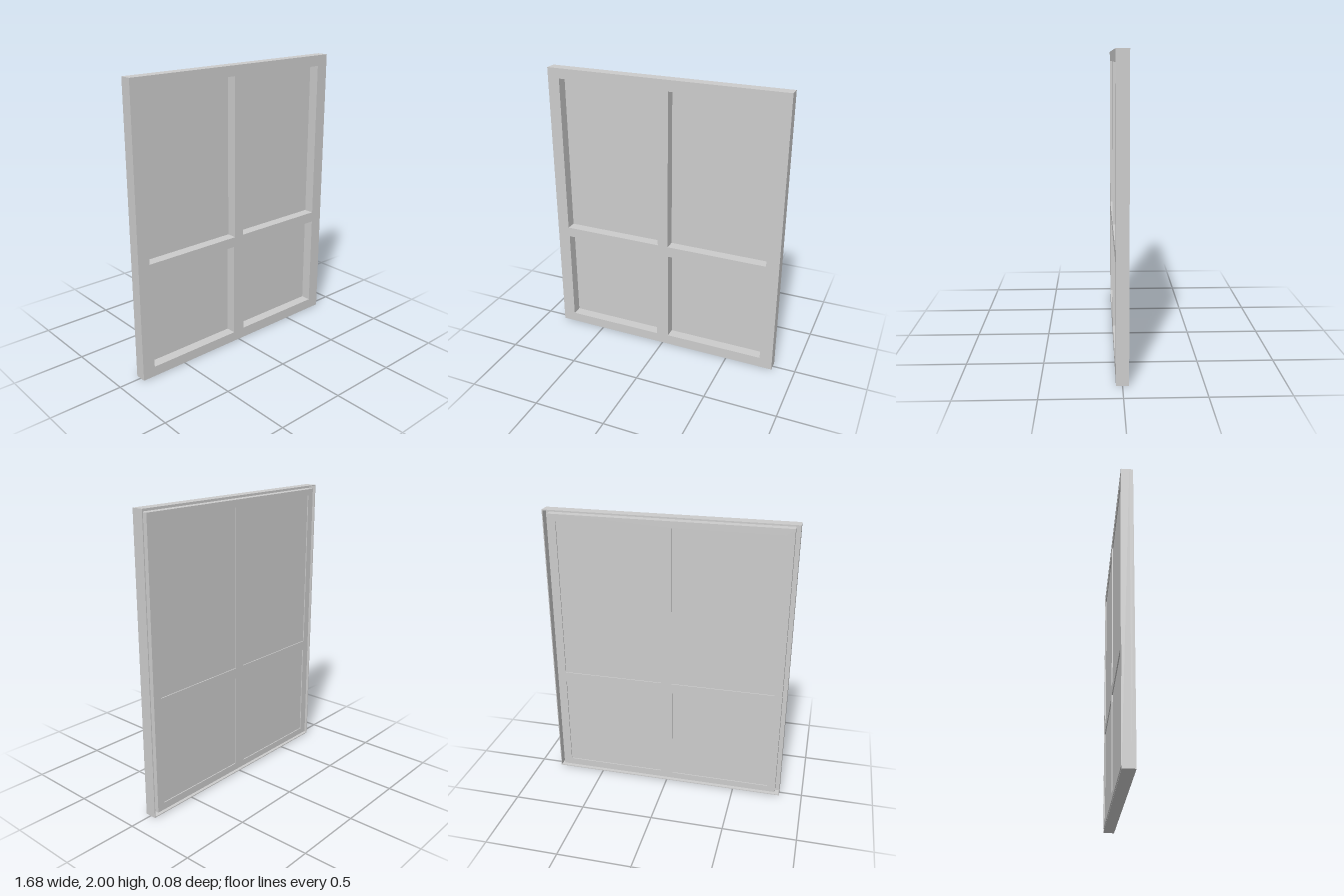
import * as THREE from 'three';

const W = 0.84, H = 2, FRONT = 0.04, BACK = -0.04, STEP = 0.015;

// Four openings: [left, right, bottom, top]
const OPENINGS = [
  [-0.755, -0.035, 0.815, 1.93],
  [0.04, 0.75, 0.815, 1.925],
  [-0.75, -0.045, 0.07, 0.745],
  [0.045, 0.75, 0.075, 0.74],
];

function rect(PathType, [x0, x1, y0, y1]) {
  const p = new PathType();
  p.moveTo(x0, y0);
  p.lineTo(x1, y0);
  p.lineTo(x1, y1);
  p.lineTo(x0, y1);
  p.closePath();
  return p;
}

// Flat board with rectangular holes, spanning z0 to z1
function board(name, outer, holes, z0, z1, material) {
  const shape = rect(THREE.Shape, outer);
  shape.holes = holes.map((h) => rect(THREE.Path, h));
  const geometry = new THREE.ExtrudeGeometry(shape, { depth: z1 - z0, bevelEnabled: false });
  geometry.translate(0, 0, z0);
  const mesh = new THREE.Mesh(geometry, material);
  mesh.name = name;
  return mesh;
}

export function createModel() {
  const group = new THREE.Group();
  group.name = 'window';
  const material = new THREE.MeshStandardMaterial({ color: 0xcccccc });
  const paneMaterial = new THREE.MeshStandardMaterial({ color: 0xcccccc, side: THREE.DoubleSide });

  // Front face with its crossing bars
  group.add(board('frontFrame', [-W, W, 0, H], OPENINGS, STEP, FRONT, material));

  // Thin rim around the back
  const t = 0.006;
  group.add(board('outerRim', [-W, W, 0, H], [[-W + t, W - t, t, H - t]], BACK, STEP, material));

  // Inner sash, separated from the rim by a narrow channel
  group.add(board('sash', [-0.808, 0.808, 0.025, 1.975], OPENINGS, BACK, STEP, material));

  // Panes set just inside the back of each opening
  for (const [x0, x1, y0, y1] of OPENINGS) {
    const pane = new THREE.Mesh(new THREE.PlaneGeometry(x1 - x0, y1 - y0), paneMaterial);
    pane.position.set((x0 + x1) / 2, (y0 + y1) / 2, -0.033);
    pane.name = 'pane';
    group.add(pane);
  }
  return group;
}
